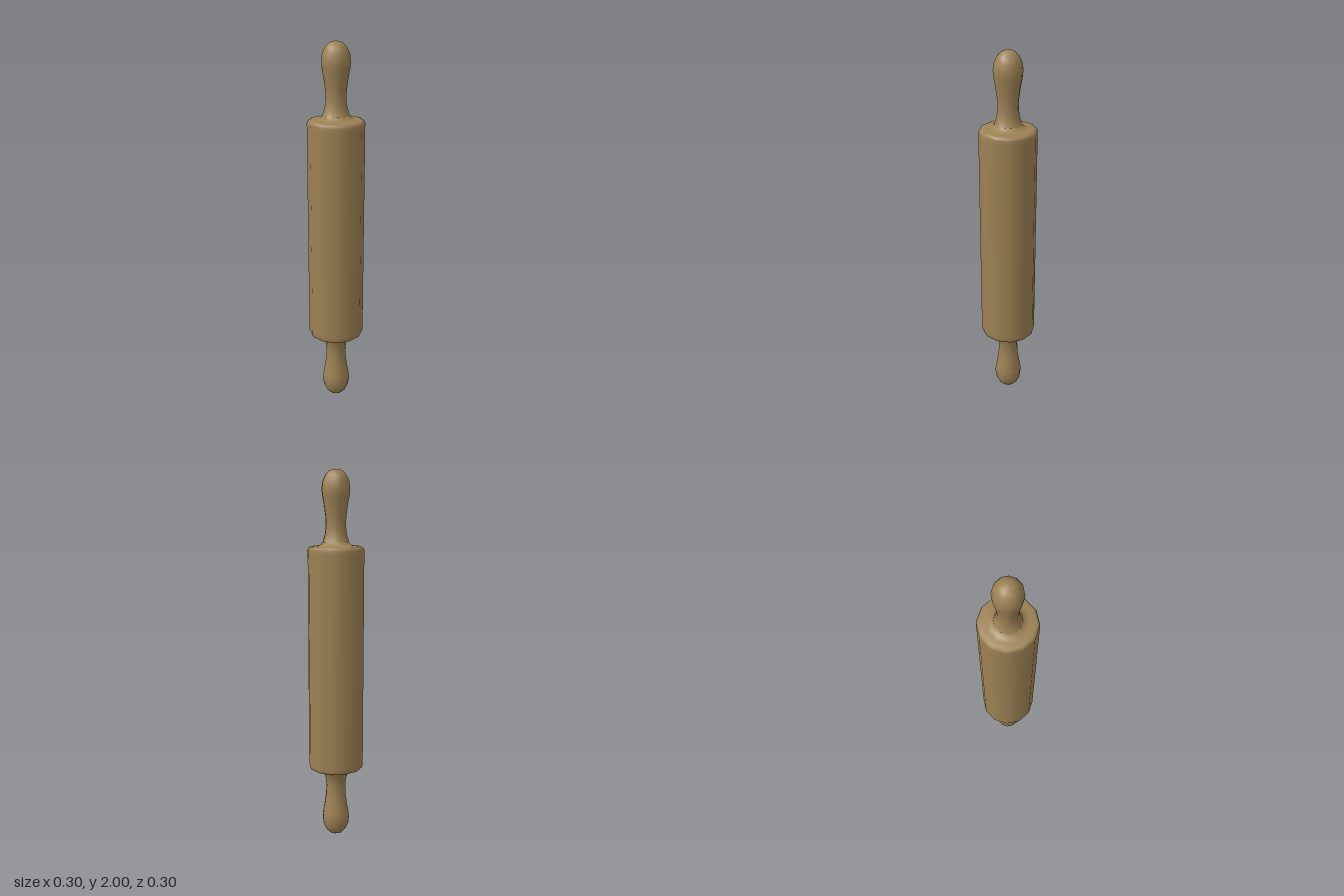
import * as THREE from 'three';

const SIDES = 12;

export function createModel() {
  const model = new THREE.Group();
  model.name = 'rollingPin';
  const wood = new THREE.MeshStandardMaterial({ color: 0x9c8154 });
  wood.name = 'wood';

  // Spins a [radius, height] profile, given from bottom to top
  const turn = (name, profile) => {
    const points = profile.map(([r, y]) => new THREE.Vector2(r, y));
    const mesh = new THREE.Mesh(new THREE.LatheGeometry(points, SIDES), wood);
    mesh.name = name;
    return mesh;
  };

  // Roller with softly rounded rims, centred on its own origin
  const rim = [[0.15, 0.57], [0.15, 0.59], [0.146, 0.602], [0.135, 0.607], [0.11, 0.61], [0.085, 0.613], [0.07, 0.63]];
  const lowerRim = rim.map(([r, y]) => [r, -y]).reverse();
  const roller = turn('roller', [...lowerRim, ...rim]);
  roller.position.y = 1;
  model.add(roller);

  // Turned handles: flared foot, narrow neck, bulb and rounded tip
  const handleProfile = [
    [0.085, 0.613], [0.07, 0.63], [0.058, 0.67], [0.053, 0.71], [0.055, 0.76], [0.063, 0.82],
    [0.072, 0.87], [0.075, 0.9], [0.07, 0.94], [0.056, 0.97], [0.037, 0.99], [0.02, 0.998], [0, 1],
  ];
  for (const [name, flip] of [['topHandle', 0], ['bottomHandle', Math.PI]]) {
    const handle = turn(name, handleProfile);
    handle.position.y = 1;
    handle.rotation.x = flip;
    model.add(handle);
  }
  return model;
}
